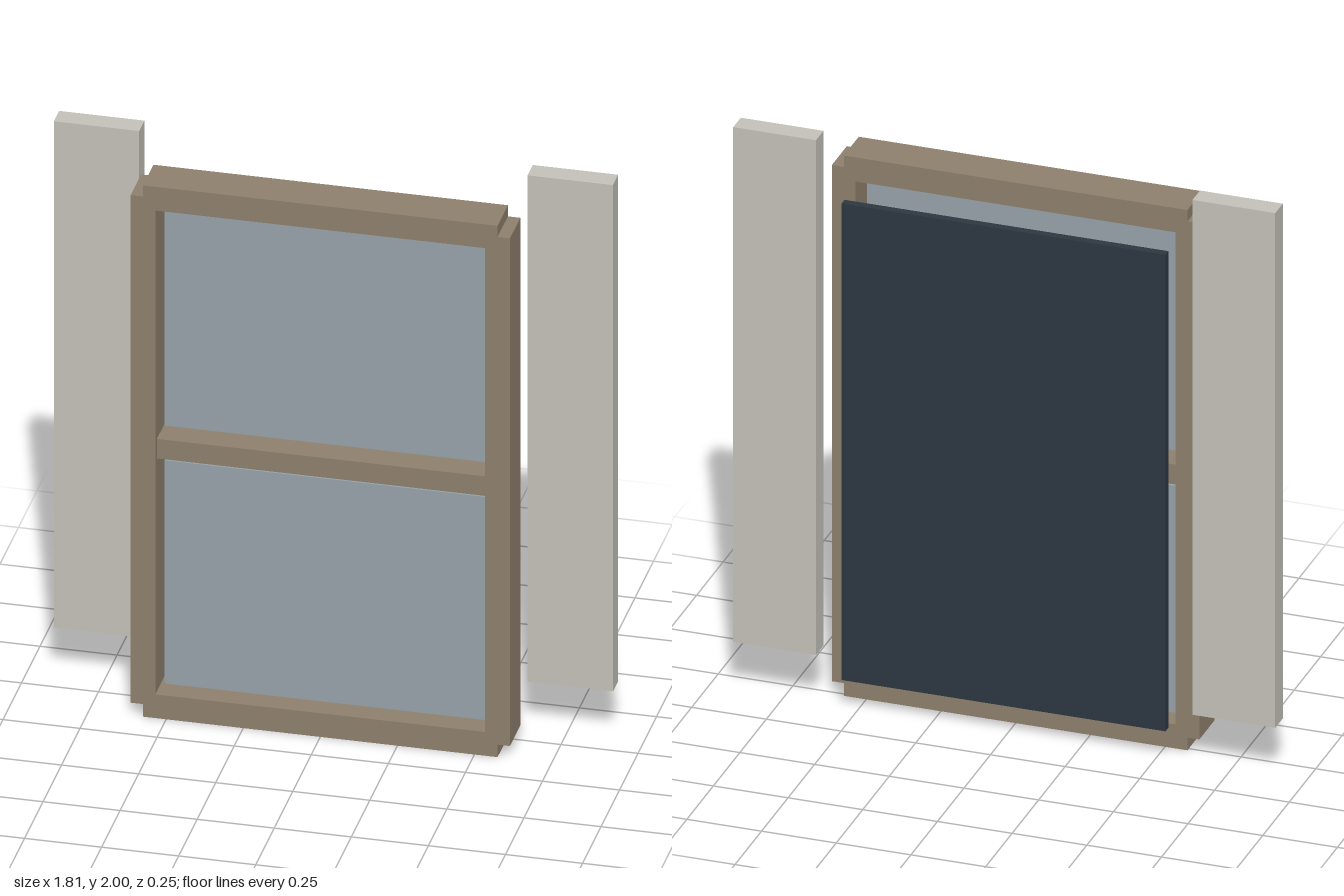
import * as THREE from 'three';

const mat = (color) => new THREE.MeshStandardMaterial({ color });

export function createModel() {
  const model = new THREE.Group();
  model.name = 'window';

  const wood = mat(0x8d806d);
  const glass = mat(0x95a1a8);
  const shutter = mat(0xc3c0b8);
  const dark = mat(0x2c3740);

  // Box given by its extents along each axis
  function block(name, material, [x0, x1], [y0, y1], [z0, z1]) {
    const mesh = new THREE.Mesh(new THREE.BoxGeometry(x1 - x0, y1 - y0, z1 - z0), material);
    mesh.position.set((x0 + x1) / 2, (y0 + y1) / 2, (z0 + z1) / 2);
    mesh.name = name;
    model.add(mesh);
  }

  // Frame: rails lap halfway across the jambs, leaving notched corners
  const frameZ = [-0.013, 0.128];
  block('topRail', wood, [-0.575, 0.575], [1.82, 1.905], frameZ);
  block('bottomRail', wood, [-0.575, 0.575], [0, 0.085], frameZ);
  block('middleRail', wood, [-0.535, 0.535], [0.92, 0.99], [0.007, 0.107]);

  // Jambs and the free-standing side panels, mirrored
  for (const [side, s] of [['left', 1], ['right', -1]]) {
    const span = (a, b) => (s > 0 ? [a, b] : [-b, -a]);
    block(side + 'Jamb', wood, span(0.535, 0.615), [0.045, 1.865], frameZ);
    block(side + 'Shutter', shutter, span(0.63, 0.907), [0.185, 2], [-0.12, -0.049]);
  }

  // Glass panes set at mid-depth of the frame
  const glassZ = [0.049, 0.065];
  block('upperPane', glass, [-0.52, 0.52], [1.018, 1.81], glassZ);
  block('lowerPane', glass, [-0.52, 0.52], [0.093, 0.893], glassZ);

  // Dark board behind the window
  block('backBoard', dark, [-0.542, 0.542], [0.115, 1.795], [-0.127, -0.099]);

  return model;
}
